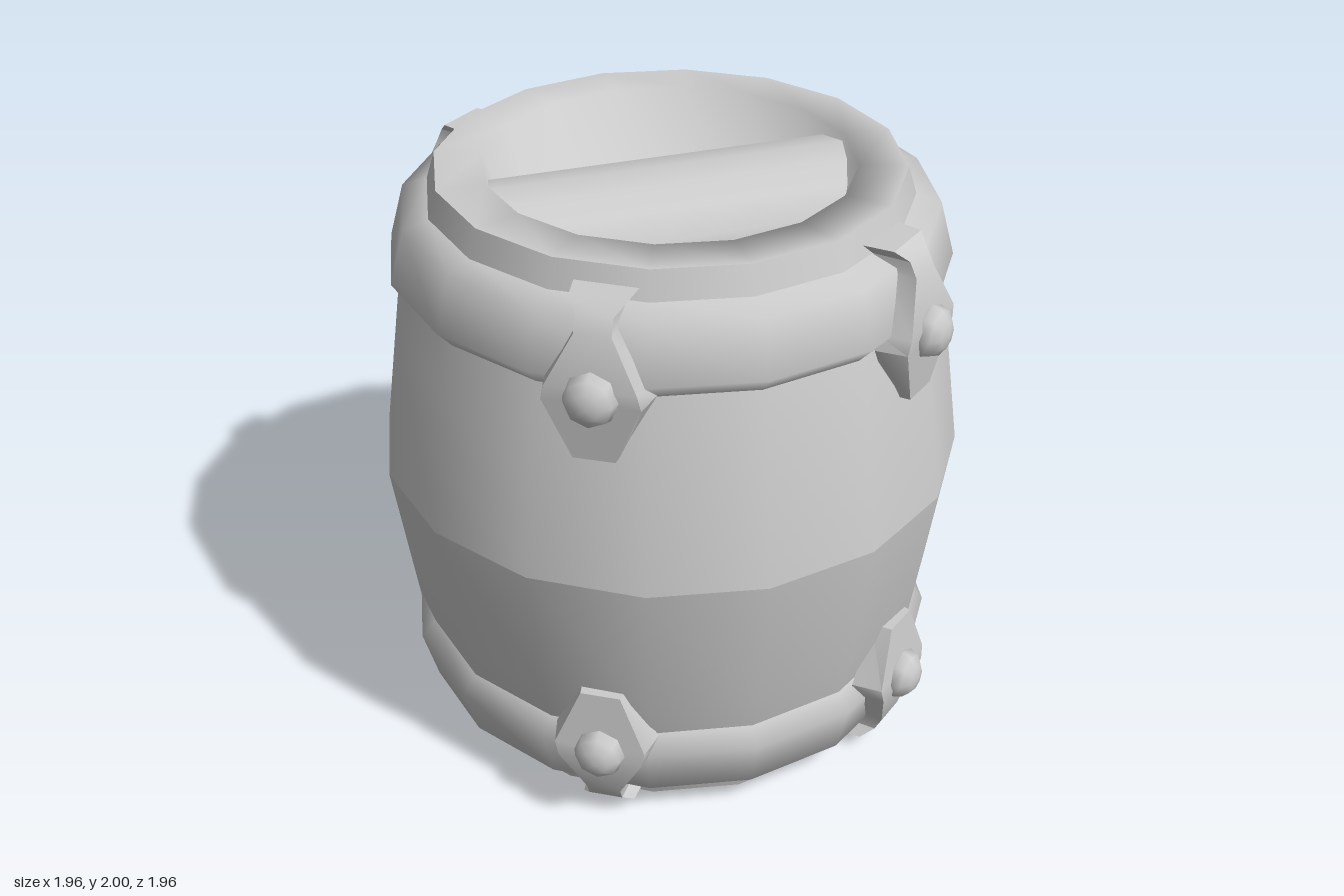
import * as THREE from 'three';
import { toCreasedNormals } from 'three/addons/utils/BufferGeometryUtils.js';

const SIDES = 16;
const grey = new THREE.MeshStandardMaterial({ color: 0xcccccc });

function addMesh(parent, name, geometry) {
  const mesh = new THREE.Mesh(geometry, grey);
  mesh.name = name;
  parent.add(mesh);
  return mesh;
}

// Turned part; the profile runs [radius, y] from bottom to top
function turned(profile) {
  return new THREE.LatheGeometry(profile.map(([r, y]) => new THREE.Vector2(r, y)), SIDES);
}

// Same profile turned upside down about y = 1
const flip = (profile) => profile.map(([r, y]) => [r, 2 - y]).reverse();

// Clasp plate: each row is [y, half width, inner radius, outer radius]
function plateGeometry() {
  const rows = [
    [1.45, 0.075, 0.86, 0.93],
    [1.65, 0.172, 0.85, 0.95],
    [1.70, 0.16, 0.85, 0.955],
    [1.86, 0.065, 0.80, 0.915],
    [1.91, 0.065, 0.77, 0.89],
    [1.945, 0.10, 0.75, 0.85],
  ];
  const points = [];
  const index = [];
  for (const [y, w, rIn, rOut] of rows) {
    points.push(-w, y, rIn, w, y, rIn, w * 0.87, y, rOut, -w * 0.87, y, rOut);
  }
  const quad = (a, b, c, d) => index.push(a, b, c, a, c, d);
  for (let i = 0; i < rows.length - 1; i++) {
    for (let k = 0; k < 4; k++) {
      const a = i * 4 + k, b = i * 4 + (k + 1) % 4;
      quad(a, a + 4, b + 4, b);
    }
  }
  const top = (rows.length - 1) * 4;
  quad(0, 1, 2, 3);
  quad(top + 3, top + 2, top + 1, top);
  const geometry = new THREE.BufferGeometry();
  geometry.setAttribute('position', new THREE.Float32BufferAttribute(points, 3));
  geometry.setIndex(index);
  return toCreasedNormals(geometry, 0.6);
}

export function createModel() {
  const model = new THREE.Group();
  model.name = 'barrel';

  // Bulging walls, with a ridge where the halves meet
  const wall = [[0.98, 1], [0.91, 1.5], [0.785, 1.91], [0.757, 2]];
  addMesh(model, 'upperWall', turned(wall));
  addMesh(model, 'lowerWall', turned(flip(wall)));

  // Flat rims running smoothly into recessed ends
  const end = [[0.757, 2], [0.6, 2], [0.51, 1.72], [0, 1.7]];
  addMesh(model, 'topEnd', turned(end));
  addMesh(model, 'bottomEnd', turned(flip(end)));

  // Rounded bar set across the top recess
  const bar = new THREE.CylinderGeometry(0.27, 0.27, 1.24, SIDES);
  bar.rotateZ(Math.PI / 2).scale(1, 0.22 / 0.27, 1).translate(0, 1.76, 0);
  addMesh(model, 'topBar', bar);

  // Hoops
  const hoop = [[0.86, 1.635], [0.918, 1.7], [0.868, 1.88], [0.78, 1.91]];
  addMesh(model, 'upperHoop', turned(hoop));
  addMesh(model, 'lowerHoop', turned(flip(hoop)));

  // Riveted clasps, four on each hoop
  const plate = plateGeometry().translate(0, -1, 0);
  const rivet = new THREE.SphereGeometry(0.085, 8, 6);
  rivet.rotateX(Math.PI / 2).scale(1, 1.05, 0.75).translate(0, 0.67, 0.95);
  for (const degrees of [51.6, 122, 231.6, 302]) {
    for (const half of [0, 1]) {
      const clasp = new THREE.Group();
      clasp.name = half ? 'lowerClasp' : 'upperClasp';
      addMesh(clasp, 'claspPlate', plate);
      addMesh(clasp, 'rivet', rivet);
      clasp.position.y = 1;
      clasp.rotation.set(0, Math.PI / 2 - THREE.MathUtils.degToRad(degrees), half * Math.PI);
      model.add(clasp);
    }
  }
  return model;
}
